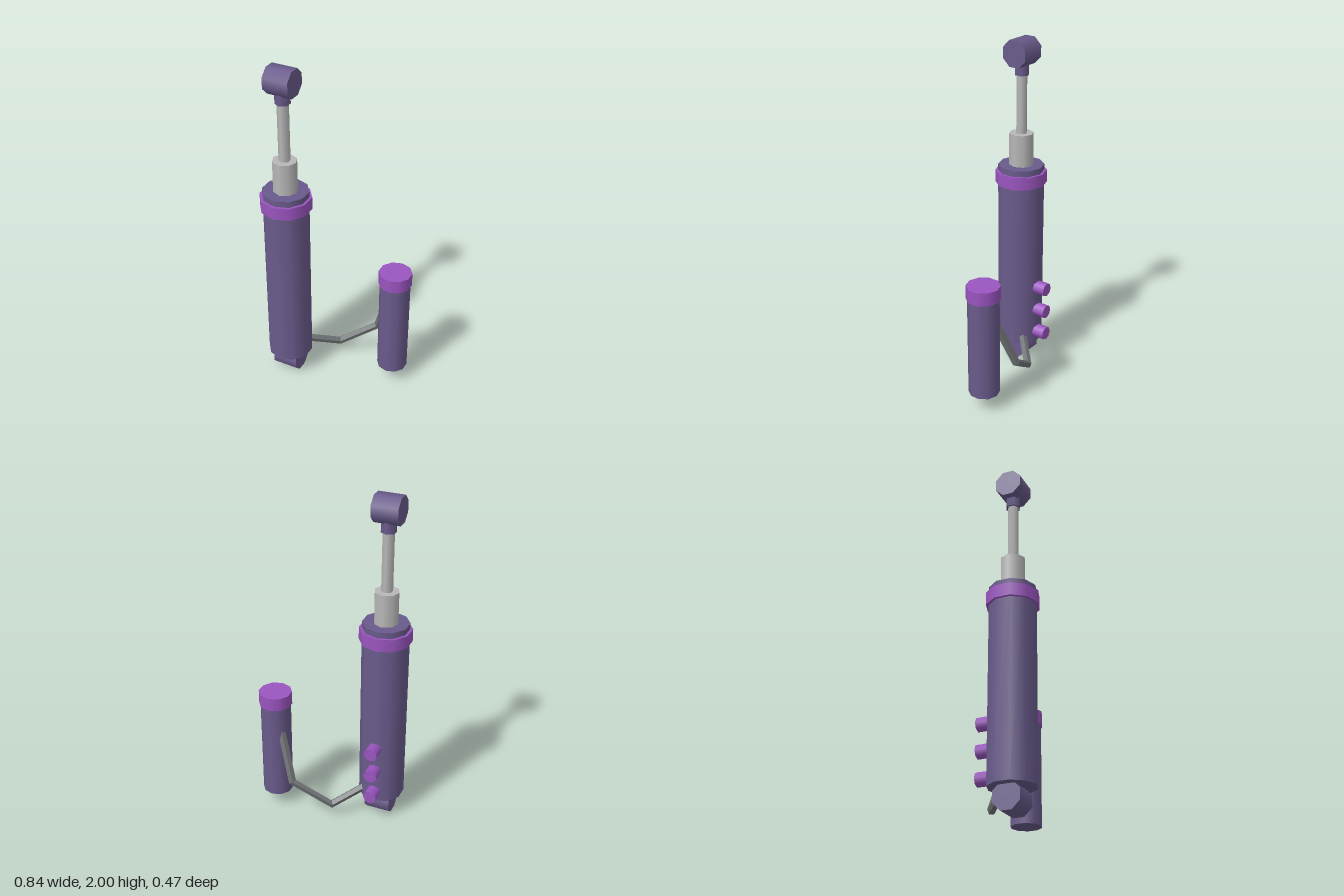
import * as THREE from 'three';

const mat = (name, color, extra = {}) => {
  const m = new THREE.MeshStandardMaterial({ color, ...extra });
  m.name = name;
  return m;
};

// Straight-segment path whose parameter lands exactly on each corner
class BentPath extends THREE.Curve {
  constructor(points) {
    super();
    this.points = points;
  }
  getPoint(t, target = new THREE.Vector3()) {
    const last = this.points.length - 1;
    const i = Math.min(Math.floor(t * last), last - 1);
    return target.lerpVectors(this.points[i], this.points[i + 1], t * last - i);
  }
  getUtoTmapping(u) {
    return u;
  }
}

export function createModel() {
  const model = new THREE.Group();
  model.name = 'shockAbsorber';

  const slate = mat('slatePurple', 0x6a5b8c);
  const violet = mat('brightViolet', 0x9b55c0);
  const steel = mat('steelGrey', 0xb8b8b8);
  const rubber = mat('hoseGrey', 0x707375, { flatShading: true });

  const add = (name, geometry, material, x, y, z) => {
    const mesh = new THREE.Mesh(geometry, material);
    mesh.name = name;
    mesh.position.set(x, y, z);
    model.add(mesh);
    return mesh;
  };
  // Upright cylinder between two heights
  const post = (name, material, r, y0, y1, sides, x, z) =>
    add(name, new THREE.CylinderGeometry(r, r, y1 - y0, sides), material, x, (y0 + y1) / 2, z);

  const X = -0.277, Z = 0.087;    // main damper axis
  const RX = 0.325, RZ = -0.101;  // reservoir axis

  // Main damper, bottom to top
  post('damperBody', slate, 0.134, 0.135, 1.265, 10, X, Z);
  post('damperCollar', violet, 0.15, 1.155, 1.23, 10, X, Z);
  post('rodGland', steel, 0.071, 1.26, 1.455, 8, X, Z);
  post('pistonRod', steel, 0.033, 1.45, 1.8, 6, X, Z);
  post('rodNeck', slate, 0.043, 1.795, 1.87, 6, X, Z);

  // Mounting eyes lying across the damper, flat side up
  const eyeGeometry = new THREE.CylinderGeometry(0.0815, 0.0815, 0.152, 8)
    .rotateY(Math.PI / 8)
    .rotateZ(Math.PI / 2);
  add('lowerEye', eyeGeometry, slate, X, 0.0755, Z);
  add('upperEye', eyeGeometry, slate, X, 1.9245, Z);

  // Adjuster knobs on the back
  const knobGeometry = new THREE.CylinderGeometry(0.041, 0.041, 0.12, 8).rotateX(Math.PI / 2);
  for (let i = 0; i < 3; i++) {
    add('adjusterKnob', knobGeometry, violet, X, 0.2 + i * 0.15, -0.05);
  }

  // Side reservoir
  post('reservoirBody', slate, 0.09, 0.1, 0.705, 10, RX, RZ);
  post('reservoirCap', violet, 0.0975, 0.7, 0.78, 10, RX, RZ);

  // Bent hose joining the damper to the reservoir
  const hosePath = new BentPath([
    new THREE.Vector3(X, 0.22, Z),
    new THREE.Vector3(-0.048, 0.102, -0.138),
    new THREE.Vector3(0.172, 0.255, -0.215),
    new THREE.Vector3(RX, 0.69, RZ),
  ]);
  add('hose', new THREE.TubeGeometry(hosePath, 3, 0.024, 5), rubber, 0, 0, 0);

  return model;
}
